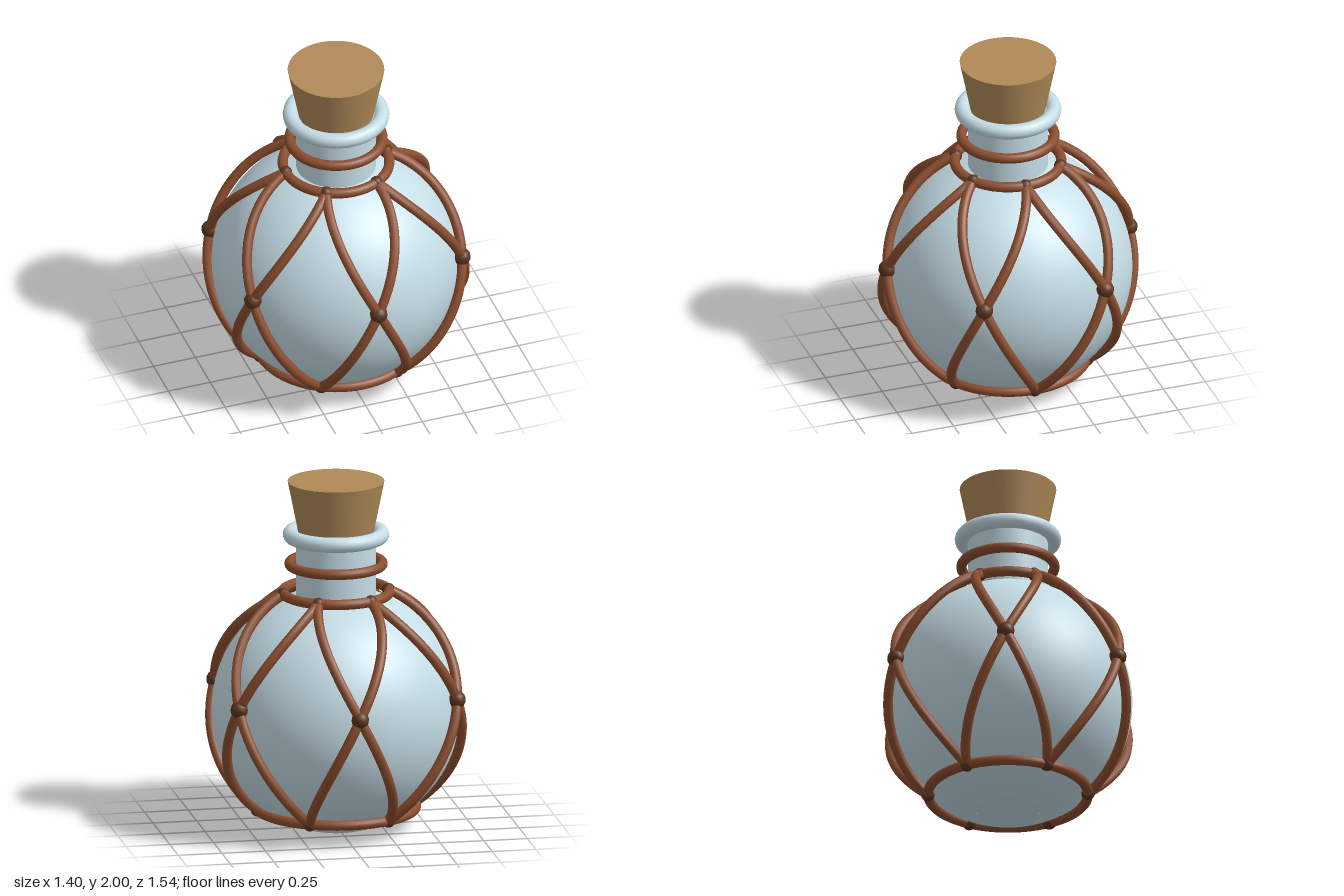
import * as THREE from 'three';

const material = (color) => new THREE.MeshStandardMaterial({ color });

export function createModel() {
  const model = new THREE.Group();
  const glass = material(0xc5dde6);
  const rope = material(0x8b4d2e);
  const knotMat = material(0x5c3420);
  const cork = material(0xb08a58);

  const add = (name, geometry, mat, parent = model) => {
    const mesh = new THREE.Mesh(geometry, mat);
    mesh.name = name;
    parent.add(mesh);
    return mesh;
  };
  const addRing = (name, y, radius, tube, mat) => {
    const ring = add(name, new THREE.TorusGeometry(radius, tube, 14, 72), mat);
    ring.rotation.x = Math.PI / 2;
    ring.position.y = y;
  };

  // Round flask body, cut flat at the foot
  const R = 0.7, centerY = 0.676;
  const start = Math.asin(0.18 / R), end = Math.PI - Math.asin(0.22 / R);
  const profile = [];
  for (let i = 0; i <= 40; i++) {
    const a = start + (end - start) * i / 40;
    profile.push(new THREE.Vector2(R * Math.sin(a), centerY - R * Math.cos(a)));
  }
  add('body', new THREE.LatheGeometry(profile, 72), glass);
  const foot = add('foot', new THREE.CircleGeometry(0.18, 72), glass);
  foot.rotation.x = Math.PI / 2;

  // Neck, lip and stopper
  const neck = add('neck', new THREE.CylinderGeometry(0.225, 0.225, 0.37, 48), glass);
  neck.position.y = 1.515;
  addRing('lip', 1.69, 0.257, 0.043, glass);
  const stopper = add('stopper', new THREE.CylinderGeometry(0.272, 0.2, 0.36, 48), cork);
  stopper.position.y = 1.82;

  // Horizontal rope rings
  addRing('neckRope', 1.52, 0.262, 0.029, rope);
  addRing('shoulderRope', 1.355, 0.3, 0.029, rope);
  addRing('baseRope', 0.113, 0.45, 0.029, rope);

  // Net levels as polar angle and distance from the body centre
  const level = (radius, y) => ({
    theta: Math.atan2(radius, y - centerY),
    dist: Math.hypot(radius, y - centerY),
  });
  const top = level(0.3, 1.355), middle = level(0.72, 0.79), bottom = level(0.45, 0.113);
  const point = (theta, dist, angle) => new THREE.Vector3(
    dist * Math.sin(theta) * Math.sin(angle),
    centerY + dist * Math.cos(theta),
    dist * Math.sin(theta) * Math.cos(angle));

  // Strand winding over the body between two knots
  const strand = (from, to, angleFrom, angleTo) => {
    const points = [];
    for (let i = 0; i <= 12; i++) {
      const t = i / 12, mix = THREE.MathUtils.lerp;
      points.push(point(mix(from.theta, to.theta, t), mix(from.dist, to.dist, t),
        mix(angleFrom, angleTo, t)));
    }
    return new THREE.TubeGeometry(new THREE.CatmullRomCurve3(points), 32, 0.028, 10);
  };

  const net = new THREE.Group();
  net.name = 'ropeNet';
  model.add(net);
  const addKnot = (name, at, angle, size) => {
    add(name, new THREE.SphereGeometry(size, 14, 10), knotMat, net)
      .position.copy(point(at.theta, at.dist, angle));
  };

  const half = Math.PI / 6;
  for (let i = 0; i < 6; i++) {
    const angle = i * 2 * half;
    for (const side of [-1, 1]) {
      add('upperStrand', strand(top, middle, angle + side * half, angle), rope, net);
      add('lowerStrand', strand(middle, bottom, angle, angle + side * half), rope, net);
    }
    addKnot('middleKnot', middle, angle, 0.05);
    addKnot('shoulderKnot', top, angle + half, 0.037);
    addKnot('baseKnot', bottom, angle + half, 0.039);
  }
  return model;
}
